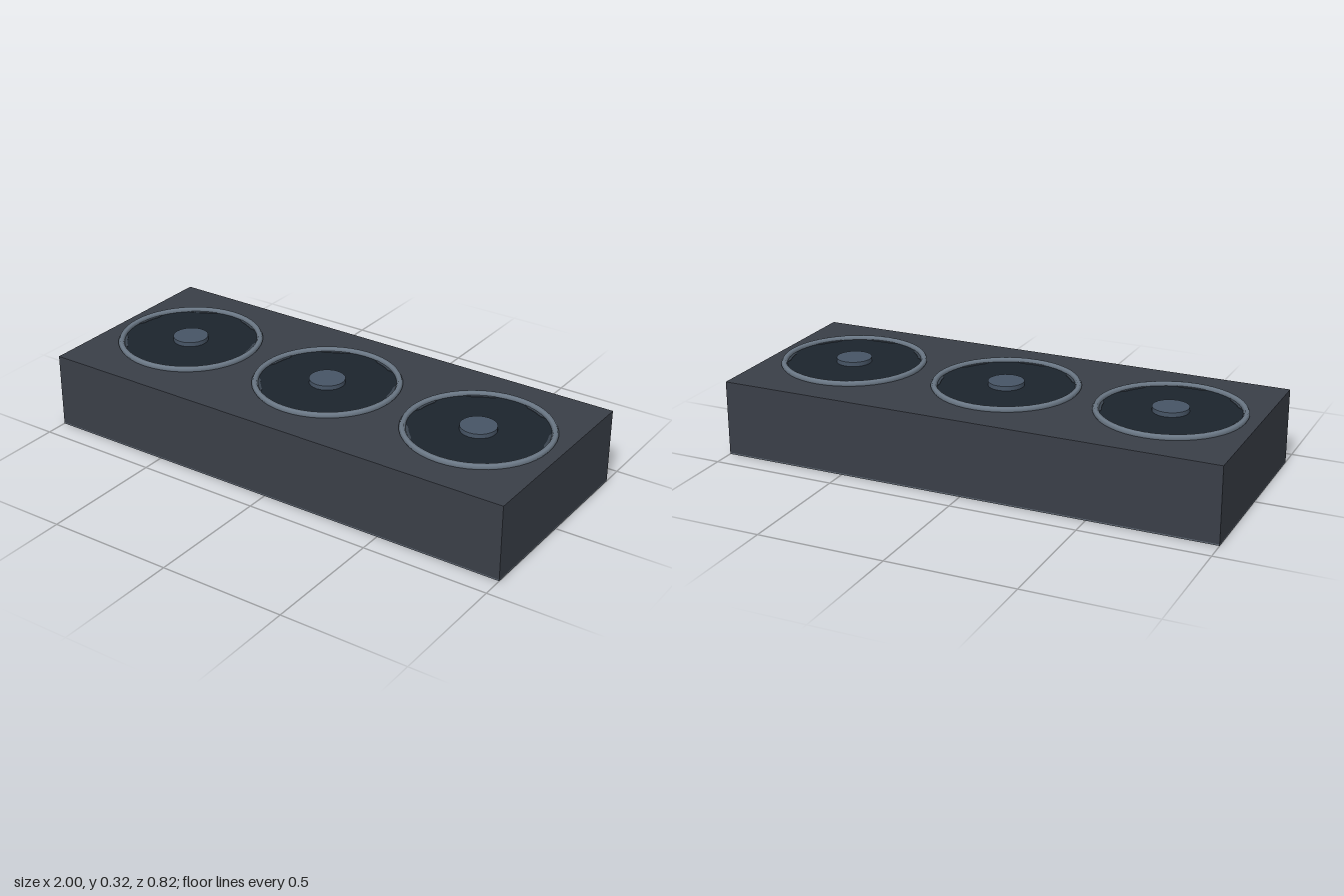
import * as THREE from 'three';

const paint = (color) => new THREE.MeshStandardMaterial({ color });
const BODY = paint(0x3a3f48);
const EDGE = paint(0x59616c);
const RING = paint(0x6b7886);
const DISC = paint(0x1c242d);
const BLADE = paint(0x3a434e);
const HUB = paint(0x475566);

function part(parent, name, geometry, material, x = 0, y = 0, z = 0) {
  const mesh = new THREE.Mesh(geometry, material);
  mesh.name = name;
  mesh.position.set(x, y, z);
  parent.add(mesh);
  return mesh;
}

// Thin arc lying flat, from angle 0 to sweep, used for the visible blade tips
function tipGeometry(inner, outer, sweep) {
  const shape = new THREE.Shape();
  shape.absarc(0, 0, outer, 0, sweep, false);
  shape.absarc(0, 0, inner, sweep * 0.8, sweep * 0.2, true);
  return new THREE.ExtrudeGeometry(shape, { depth: 0.004, bevelEnabled: false, curveSegments: 8 })
    .rotateX(-Math.PI / 2);
}

function createFan(x) {
  const fan = new THREE.Group();
  fan.name = 'fan';
  fan.position.set(x, 0.3, 0);

  part(fan, 'fanWell', new THREE.CylinderGeometry(0.27, 0.27, 0.006, 48), DISC, 0, 0.001, 0);
  part(fan, 'fanRing', new THREE.TorusGeometry(0.277, 0.0125, 6, 48).rotateX(Math.PI / 2), RING, 0, 0.0065, 0);
  part(fan, 'fanHub', new THREE.CylinderGeometry(0.07, 0.07, 0.02, 24), HUB, 0, 0.0115, 0);

  // Blade tips showing just inside the ring
  const count = 7;
  const tip = tipGeometry(0.254, 0.268, 0.5);
  for (let i = 0; i < count; i++) {
    part(fan, 'bladeTip', tip, BLADE, 0, 0.002, 0).rotation.y = (i / count) * Math.PI * 2;
  }
  return fan;
}

export function createModel() {
  const model = new THREE.Group();
  model.name = 'tripleFanBlock';

  // Housing on a thin base plate
  part(model, 'housing', new THREE.BoxGeometry(2, 0.294, 0.824), BODY, 0, 0.153, 0);
  part(model, 'basePlate', new THREE.BoxGeometry(2, 0.006, 0.824), EDGE, 0, 0.003, 0);

  for (const x of [-0.665, 0, 0.665]) model.add(createFan(x));
  return model;
}
